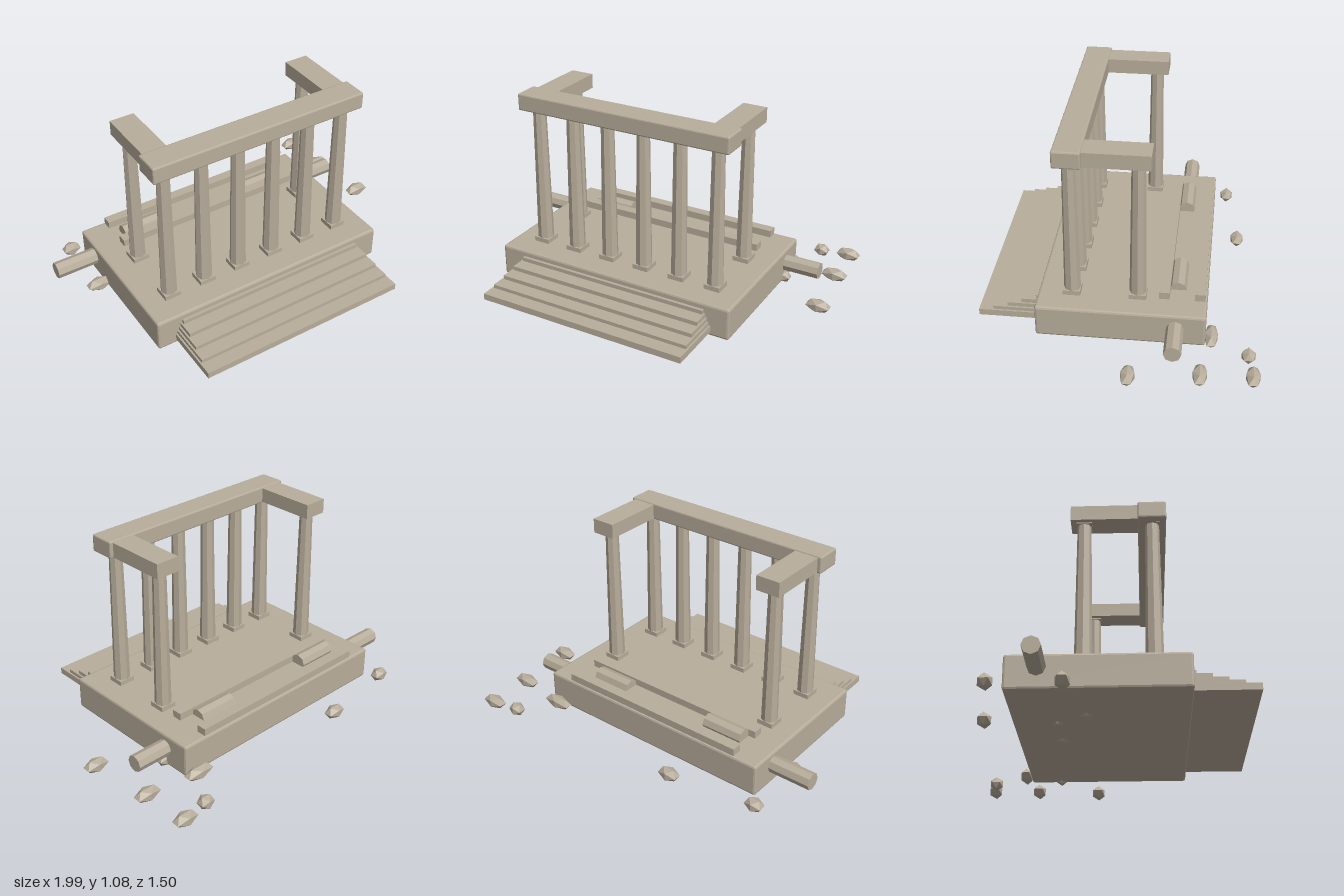
import * as THREE from 'three';
import { RoundedBoxGeometry } from 'three/addons/geometries/RoundedBoxGeometry.js';

export function createModel() {
  const root = new THREE.Group();
  root.name = 'ruinedTemple';
  const stone = new THREE.MeshStandardMaterial({ color: 0xb8ad9b, flatShading: true });
  stone.name = 'weathered stone';

  function add(name, geometry, x, y, z, parent = root) {
    const mesh = new THREE.Mesh(geometry, stone);
    mesh.name = name;
    mesh.position.set(x, y, z);
    parent.add(mesh);
    return mesh;
  }

  // Box given by its limits on each axis, with an optional small chamfer
  function block(name, [x0, x1], [y0, y1], [z0, z1], chamfer = 0) {
    const size = [x1 - x0, y1 - y0, z1 - z0];
    const geometry = chamfer
      ? new RoundedBoxGeometry(...size, 1, chamfer)
      : new THREE.BoxGeometry(...size);
    return add(name, geometry, (x0 + x1) / 2, (y0 + y1) / 2, (z0 + z1) / 2);
  }

  const cx = -0.0575; // centre line of the building

  // Platform
  block('platform', [-0.763, 0.648], [0.02, 0.2], [-0.465, 0.425], 0.012);

  // Front steps, each narrower and shorter than the one below
  const stepTops = [0.08, 0.1, 0.122, 0.145, 0.167];
  stepTops.forEach((top, i) => {
    const half = 0.603 - i * 0.01;
    const bottom = i ? stepTops[i - 1] : 0.044;
    block('step', [cx - half, cx + half], [bottom, top], [0.38, 0.747 - i * 0.076]);
  });

  // Columns: square plinth, tapered octagonal shaft, thin capital
  function column(x, z) {
    const group = new THREE.Group();
    group.name = 'column';
    group.position.set(x, 0.2, z);
    root.add(group);
    add('plinth', new THREE.BoxGeometry(0.092, 0.026, 0.092), 0, 0.013, 0, group);
    add('shaft', new THREE.CylinderGeometry(0.036, 0.045, 0.765, 8), 0, 0.4085, 0, group);
    add('capital', new THREE.BoxGeometry(0.08, 0.014, 0.08), 0, 0.796, 0, group);
  }
  for (let i = 0; i < 6; i++) column(-0.595 + i * 0.215, 0.247);
  for (const x of [-0.595, 0.48]) column(x, -0.1);

  // Beams resting on the columns
  block('frontBeam', [-0.682, 0.568], [0.99, 1.084], [0.174, 0.319], 0.008);
  block('sideBeam', [-0.66, -0.525], [0.995, 1.076], [-0.168, 0.19]);
  block('sideBeam', [0.413, 0.548], [0.995, 1.076], [-0.168, 0.19]);

  // Low wall remains at the back
  for (const z of [-0.24, -0.427]) {
    block('wallRemain', [-0.62, 0.507], [0.19, 0.24], [z - 0.028, z + 0.028]);
  }

  // Fallen column drums lying along x: [start, end, height]
  const drums = [
    [-1, -0.7, 0.132], [0.6, 0.85, 0.123],
    [-0.58, -0.345, 0.214], [0.19, 0.42, 0.2],
  ];
  for (const [x0, x1, y] of drums) {
    const drum = add('fallenDrum', new THREE.CylinderGeometry(0.046, 0.046, x1 - x0, 8),
      (x0 + x1) / 2, y, -0.307);
    drum.rotation.z = Math.PI / 2;
  }

  // Scattered rubble: [x, z, half length, half depth]
  const rubble = [
    [-0.81, -0.535, 0.05, 0.038], [-0.325, -0.61, 0.058, 0.038],
    [-0.805, -0.18, 0.072, 0.038], [0.587, -0.495, 0.085, 0.036],
    [0.72, -0.69, 0.042, 0.038], [0.875, -0.715, 0.067, 0.038],
    [0.888, -0.45, 0.072, 0.038], [0.93, -0.092, 0.067, 0.038],
    [0.64, -0.295, 0.045, 0.03], [-0.06, -0.235, 0.06, 0.036],
    [-0.31, -0.24, 0.045, 0.036], [-0.41, -0.09, 0.06, 0.036],
  ];
  for (const [x, z, rx, rz] of rubble) {
    const rock = add('rubble', new THREE.IcosahedronGeometry(1, 0), x, 0.04, z);
    rock.scale.set(rx * 1.14, 0.039, rz * 1.1);
  }

  return root;
}
